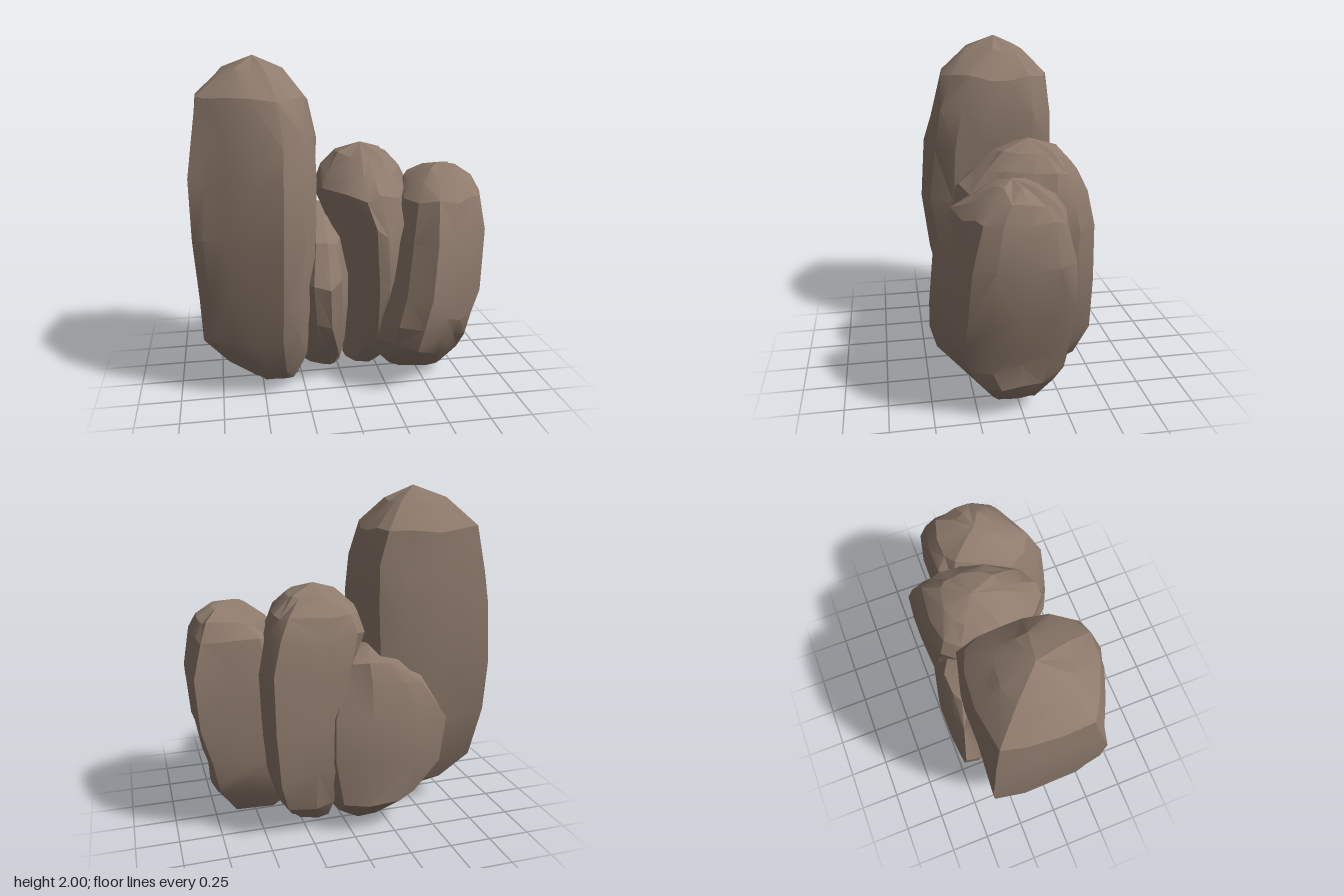
import * as THREE from 'three';
import { toCreasedNormals } from 'three/addons/utils/BufferGeometryUtils.js';

const stone = new THREE.MeshStandardMaterial({ color: 0x8f7b6d });
stone.name = 'brown stone';

// Small seeded generator
function seeded(seed) {
  let s = seed;
  return () => (s = (s * 16807) % 2147483647) / 2147483647;
}

// Boulder lofted from stacked cross-sections.
// plan: outline [x, z] seen from above; levels: [y, xMin, xMax, zMin, zMax];
// bottom / top: end points. Sections turn from oval at the ends to the plan shape in the middle.
function boulder({ name, plan, levels, bottom, top, seed }) {
  const rand = seeded(seed);
  const box = new THREE.Box2().setFromPoints(plan.map(([x, z]) => new THREE.Vector2(x, z)));
  const mid = box.getCenter(new THREE.Vector2());
  const half = box.getSize(new THREE.Vector2()).multiplyScalar(0.5);
  const outline = plan.map(([x, z]) => new THREE.Vector2(x, z).sub(mid).divide(half));
  const n = outline.length;

  const verts = [...bottom];
  for (const [y, x0, x1, z0, z1] of levels) {
    const t = (y - bottom[1]) / (top[1] - bottom[1]);
    const w = Math.min(1, 0.2 + 4 * t * (1 - t));
    for (const o of outline) {
      const p = o.clone().normalize().lerp(o, w).multiplyScalar(1.01 - 0.06 * rand() * w);
      verts.push(
        (x0 + x1) / 2 + p.x * (x1 - x0) / 2,
        y + (rand() - 0.5) * 0.07 * w,
        (z0 + z1) / 2 + p.y * (z1 - z0) / 2,
      );
    }
  }
  verts.push(...top);

  const faces = [];
  const at = (ring, i) => 1 + ring * n + (i % n);
  const last = levels.length - 1;
  for (let i = 0; i < n; i++) {
    faces.push(0, at(0, i + 1), at(0, i));
    for (let k = 0; k < last; k++) {
      const a = at(k, i), b = at(k, i + 1), c = at(k + 1, i + 1), d = at(k + 1, i);
      // Mixed diagonals give irregular facets
      faces.push(...(rand() < 0.5 ? [a, b, c, a, c, d] : [a, b, d, b, c, d]));
    }
    faces.push(at(last, i), at(last, i + 1), at(last + 1, 0));
  }

  const geo = new THREE.BufferGeometry();
  geo.setAttribute('position', new THREE.Float32BufferAttribute(verts, 3));
  geo.setIndex(faces);
  const mesh = new THREE.Mesh(toCreasedNormals(geo, 0.4), stone);
  mesh.name = name;
  return mesh;
}

export function createModel() {
  const group = new THREE.Group();
  group.name = 'boulderCluster';

  // Tall stone, flat on its outer side and back
  group.add(boulder({
    name: 'tallBoulder', seed: 11,
    plan: [[-0.17, -0.36], [-0.33, -0.39], [-0.55, -0.385], [-0.87, -0.395], [-0.89, -0.2],
      [-0.89, 0.05], [-0.89, 0.27], [-0.82, 0.31], [-0.7, 0.36], [-0.55, 0.43], [-0.37, 0.485],
      [-0.25, 0.42], [-0.17, 0.28], [-0.15, 0.1], [-0.14, -0.05], [-0.14, -0.22]],
    bottom: [-0.4, 0, 0.03],
    levels: [[0.06, -0.55, -0.27, -0.12, 0.2], [0.18, -0.72, -0.21, -0.25, 0.3],
      [0.36, -0.86, -0.18, -0.33, 0.38], [0.64, -0.875, -0.17, -0.38, 0.44],
      [1, -0.89, -0.155, -0.395, 0.485], [1.33, -0.885, -0.145, -0.385, 0.46],
      [1.55, -0.87, -0.14, -0.38, 0.41], [1.77, -0.84, -0.19, -0.36, 0.33],
      [1.92, -0.69, -0.33, -0.22, 0.17]],
    top: [-0.5, 2, -0.03],
  }));

  // Middle stone, rounder at the front
  group.add(boulder({
    name: 'middleBoulder', seed: 29,
    plan: [[0.45, -0.455], [0.15, -0.45], [-0.05, -0.43], [-0.13, -0.3], [-0.15, -0.1],
      [-0.12, 0.07], [0, 0.25], [0.12, 0.35], [0.2, 0.34], [0.33, 0.27], [0.4, 0.1],
      [0.47, -0.08], [0.51, -0.25], [0.5, -0.36]],
    bottom: [0.17, 0, -0.15],
    levels: [[0.05, 0.05, 0.32, -0.3, 0.03], [0.18, 0.03, 0.42, -0.4, 0.18],
      [0.4, 0, 0.47, -0.455, 0.28], [0.7, -0.03, 0.5, -0.46, 0.34],
      [1, -0.08, 0.51, -0.45, 0.35], [1.2, -0.14, 0.475, -0.435, 0.3],
      [1.31, -0.1, 0.42, -0.4, 0.2], [1.41, -0.01, 0.32, -0.3, 0.06]],
    top: [0.15, 1.47, -0.13],
  }));

  // Outer stone, leaning outward
  group.add(boulder({
    name: 'outerBoulder', seed: 47,
    plan: [[0.87, -0.26], [0.6, -0.27], [0.4, -0.275], [0.27, -0.2], [0.21, 0], [0.21, 0.28],
      [0.3, 0.43], [0.45, 0.505], [0.63, 0.42], [0.75, 0.36], [0.83, 0.33], [0.88, 0.2],
      [0.89, 0.03], [0.89, -0.15]],
    bottom: [0.45, 0, 0.02],
    levels: [[0.07, 0.3, 0.67, -0.11, 0.2], [0.2, 0.2, 0.77, -0.2, 0.34],
      [0.33, 0.18, 0.785, -0.25, 0.46], [0.45, 0.2, 0.81, -0.265, 0.505],
      [0.65, 0.25, 0.86, -0.27, 0.49], [0.95, 0.28, 0.89, -0.265, 0.46],
      [1.18, 0.34, 0.85, -0.24, 0.37], [1.27, 0.41, 0.81, -0.18, 0.26],
      [1.33, 0.5, 0.72, -0.07, 0.16]],
    top: [0.6, 1.36, 0.05],
  }));

  // Low stone wedged behind and between the others
  group.add(boulder({
    name: 'lowBoulder', seed: 83,
    plan: [[0.12, -0.46], [-0.1, -0.51], [-0.4, -0.5], [-0.58, -0.48], [-0.6, -0.38],
      [-0.5, -0.1], [-0.35, 0.15], [-0.2, 0.34], [-0.1, 0.355], [-0.02, 0.3], [0.06, 0.1],
      [0.14, -0.1], [0.17, -0.35]],
    bottom: [-0.12, 0, -0.15],
    levels: [[0.05, -0.27, 0.04, -0.35, 0.05], [0.2, -0.42, 0.1, -0.505, 0.2],
      [0.45, -0.56, 0.16, -0.51, 0.32], [0.7, -0.59, 0.15, -0.49, 0.35],
      [0.92, -0.46, 0.08, -0.46, 0.25], [1.04, -0.33, 0.02, -0.42, 0.05]],
    top: [-0.17, 1.1, -0.2],
  }));
  return group;
}
